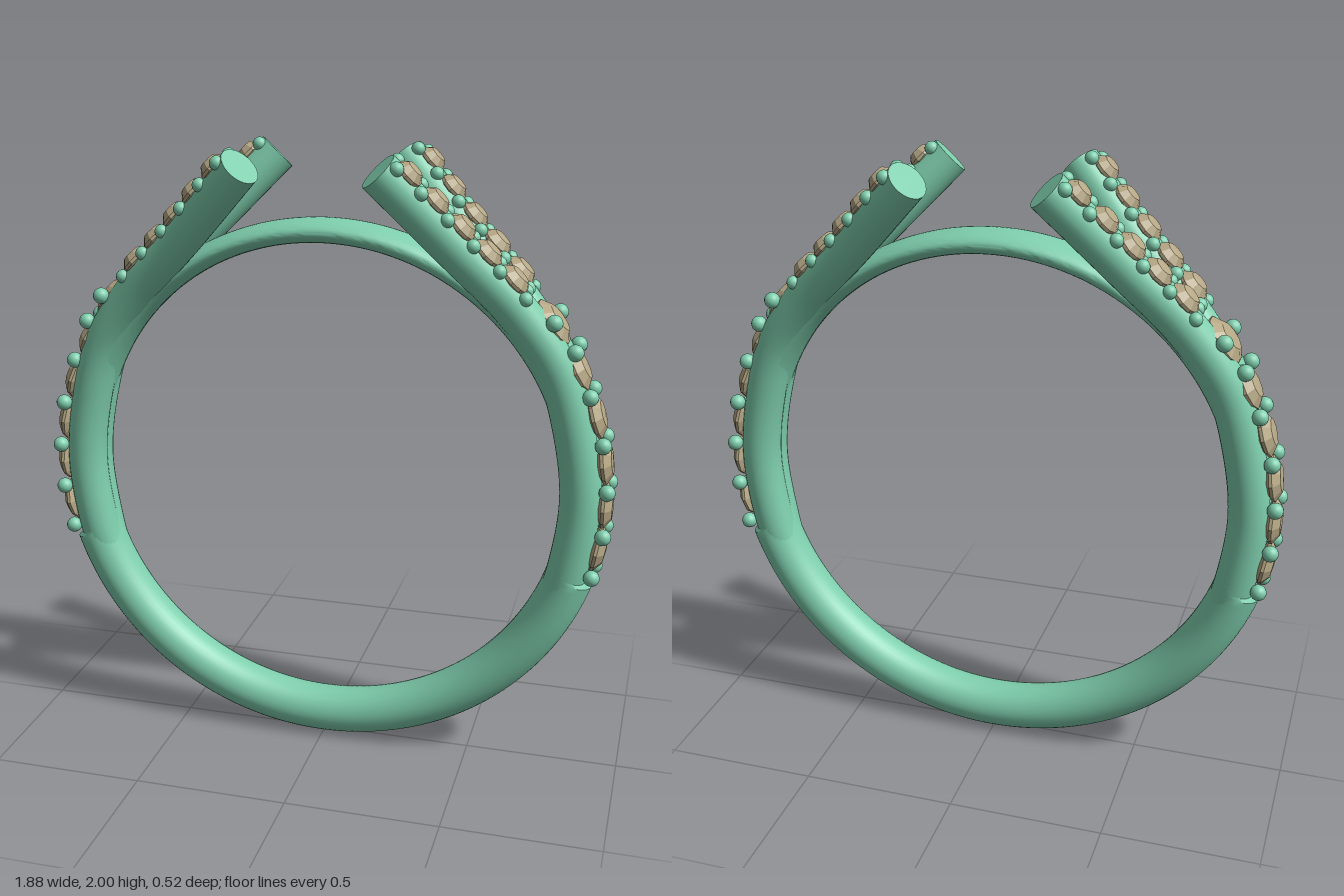
import * as THREE from 'three';
import { toCreasedNormals } from 'three/addons/utils/BufferGeometryUtils.js';

const CY = 0.93; // height of the ring's centre
const metal = new THREE.MeshStandardMaterial({ color: 0x7fcfae });
const stone = new THREE.MeshStandardMaterial({ color: 0xb5a785, flatShading: true });
const rad = THREE.MathUtils.degToRad;

function named(mesh, name) {
  mesh.name = name;
  return mesh;
}

// Ring: oval cross-sections swept round, thick below, stepped down under the stones, thin on top
function bandGeometry() {
  const inner = 0.773, steps = 240, sides = 32;
  const pos = [], index = [];
  for (let i = 0; i <= steps; i++) {
    const deg = -180 + (i * 360) / steps;
    const a = Math.abs(deg);
    const outer = a <= 72 ? 0.929 : 0.885 - 0.035 * THREE.MathUtils.smoothstep(a, 90, 150);
    const mid = (inner + outer) / 2, half = (outer - inner) / 2;
    const width = 0.08 + 0.005 * THREE.MathUtils.smoothstep(a, 0, 75);
    for (let j = 0; j <= sides; j++) {
      const t = (j / sides) * Math.PI * 2;
      const r = mid + half * Math.cos(t);
      pos.push(r * Math.sin(rad(deg)), CY - r * Math.cos(rad(deg)), width * Math.sin(t));
      if (i < steps && j < sides) {
        const p = i * (sides + 1) + j, q = p + sides + 1;
        index.push(p, q, p + 1, q, q + 1, p + 1);
      }
    }
  }
  const g = new THREE.BufferGeometry();
  g.setAttribute('position', new THREE.Float32BufferAttribute(pos, 3));
  g.setIndex(index);
  return toCreasedNormals(g, 0.6);
}

// Round faceted stone, girdle at y = 0, radius 1
const gemGeometry = new THREE.LatheGeometry(
  [[0, -0.5], [1, -0.05], [1, 0.08], [0.6, 0.38], [0, 0.42]].map(([x, y]) => new THREE.Vector2(x, y)), 10);
const beadGeometry = new THREE.SphereGeometry(0.026, 16, 12);
const UP = new THREE.Vector3(0, 1, 0);

function addGem(group, point, normal, radius) {
  const gem = named(new THREE.Mesh(gemGeometry, stone), 'stone');
  gem.position.copy(point);
  gem.quaternion.setFromUnitVectors(UP, normal);
  gem.scale.set(radius, 0.075, radius);
  group.add(gem);
}

function addBead(group, point, scale = 1) {
  const bead = named(new THREE.Mesh(beadGeometry, metal), 'bead');
  bead.position.copy(point);
  bead.scale.setScalar(scale);
  group.add(bead);
}

// One of the two arms that part towards the top, with its small stones
function makeArm(side) {
  const arm = named(new THREE.Group(), side > 0 ? 'frontArm' : 'backArm');
  const R = 0.065;
  const path = new THREE.CatmullRomCurve3([
    [0.765, 0.56, 0.008], [0.80, 0.68, 0.02], [0.831, 0.93, 0.024], [0.80, 1.16, 0.027],
    [0.735, 1.36, 0.034], [0.61, 1.535, 0.056], [0.43, 1.72, 0.107], [0.21, 1.953, 0.195],
  ].map(([x, y, z]) => new THREE.Vector3(x, y, z * side)));
  arm.add(named(new THREE.Mesh(new THREE.TubeGeometry(path, 90, R, 28), metal), 'armTube'));

  const cap = named(new THREE.Mesh(new THREE.CircleGeometry(R, 28), metal), 'armCap');
  cap.position.copy(path.getPointAt(1));
  cap.quaternion.setFromUnitVectors(new THREE.Vector3(0, 0, 1), path.getTangentAt(1));
  arm.add(cap);

  // Place things on the outer face of the tube, "along" being the fraction of its length
  const frame = (along) => {
    const t = path.getTangentAt(along);
    const n = new THREE.Vector3(t.y, -t.x, 0).normalize();
    return { p: path.getPointAt(along), n, b: new THREE.Vector3().crossVectors(t, n) };
  };
  const count = 5, first = 0.682, last = 0.958, gap = (last - first) / (count - 1);
  for (let i = 0; i < count; i++) {
    const { p, n } = frame(first + i * gap);
    addGem(arm, p.addScaledVector(n, R - 0.008), n, 0.055 - i * 0.002);
  }
  for (let i = 0; i <= count; i++) {
    const { p, n, b } = frame(Math.min(first + (i - 0.5) * gap, 0.985));
    for (const s of [-1, 1]) {
      addBead(arm, p.clone().addScaledVector(n, R - 0.012).addScaledVector(b, s * 0.038), 0.85);
    }
  }
  return arm;
}

// One shoulder: two arms and the row of large stones below their fork
function makeShoulder() {
  const shoulder = named(new THREE.Group(), 'shoulder');
  shoulder.add(makeArm(1), makeArm(-1));
  const onRing = (deg, r, z = 0) =>
    new THREE.Vector3(r * Math.cos(rad(deg)), CY + r * Math.sin(rad(deg)), z);

  [-10, -0.6, 8.5, 18, 28, 38.2].forEach((deg, i) => {
    const normal = onRing(deg, 1).sub(new THREE.Vector3(0, CY, 0));
    addGem(shoulder, onRing(deg, i === 5 ? 0.91 : 0.903), normal, i === 5 ? 0.081 : 0.074);
  });
  [-15.2, -6.2, 3.1, 12.6, 22.5, 31.5, 38.5].forEach((deg, i) => {
    for (const s of [-1, 1]) {
      addBead(shoulder, onRing(deg, i > 4 ? 0.93 : 0.915, s * (i > 5 ? 0.08 : 0.055)));
    }
  });
  return shoulder;
}

export function createModel() {
  const model = named(new THREE.Group(), 'ring');
  model.add(named(new THREE.Mesh(bandGeometry(), metal), 'band'));
  const left = makeShoulder();
  left.name = 'leftShoulder';
  const right = makeShoulder();
  right.name = 'rightShoulder';
  right.rotation.y = Math.PI;
  model.add(left, right);
  return model;
}
